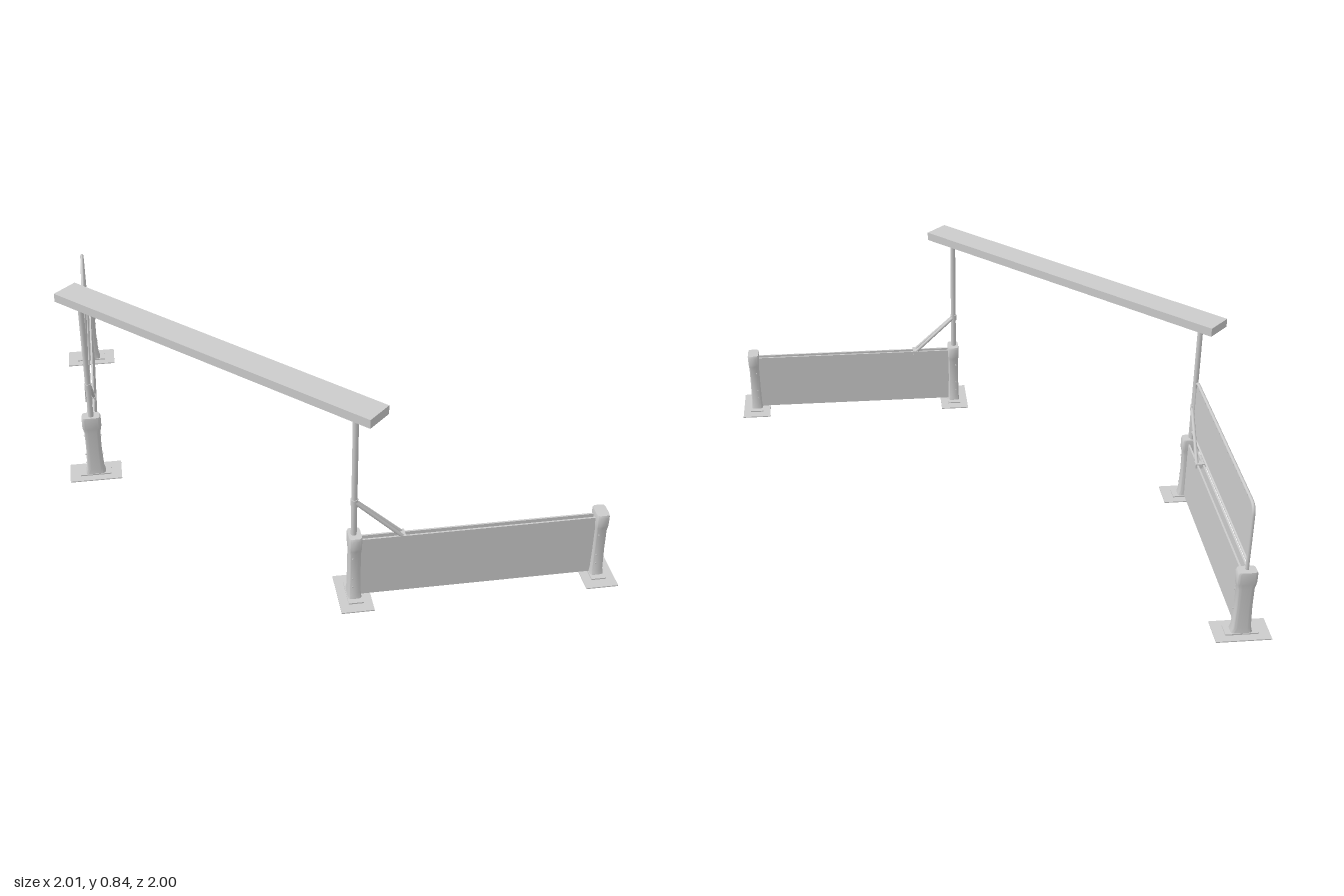
import * as THREE from 'three';
import { toCreasedNormals } from 'three/addons/utils/BufferGeometryUtils.js';

const SPAN = 0.92; // distance between the two posts of a barrier
const grey = new THREE.MeshStandardMaterial({ color: 0xcccccc });
const sheetGrey = new THREE.MeshStandardMaterial({ color: 0xcccccc, side: THREE.DoubleSide });

function add(parent, name, geometry, x = 0, y = 0, z = 0, material = grey) {
  const mesh = new THREE.Mesh(geometry, material);
  mesh.name = name;
  mesh.position.set(x, y, z);
  parent.add(mesh);
  return mesh;
}

function box(parent, name, w, h, d, x, y, z) {
  return add(parent, name, new THREE.BoxGeometry(w, h, d), x, y, z);
}

// round rod between two points
function rod(parent, name, a, b, radius) {
  const from = new THREE.Vector3(...a), to = new THREE.Vector3(...b);
  const dir = to.clone().sub(from);
  const mid = from.clone().add(to).multiplyScalar(0.5);
  const mesh = add(parent, name, new THREE.CylinderGeometry(radius, radius, dir.length(), 12), mid.x, mid.y, mid.z);
  mesh.quaternion.setFromUnitVectors(new THREE.Vector3(0, 1, 0), dir.normalize());
  return mesh;
}

// sections are [y, width, depth]; each is a rounded rectangle, joined upward
function postGeometry(sections) {
  const sides = 32, pos = [], index = [];
  const power = (v) => Math.sign(v) * Math.pow(Math.abs(v), 0.4);
  for (const [y, w, d] of sections) {
    for (let i = 0; i < sides; i++) {
      const a = (i / sides) * Math.PI * 2;
      pos.push(power(Math.cos(a)) * w / 2, y, power(Math.sin(a)) * d / 2);
    }
  }
  const rows = sections.length;
  for (let r = 0; r < rows - 1; r++) {
    for (let i = 0; i < sides; i++) {
      const a = r * sides + i, b = r * sides + (i + 1) % sides;
      index.push(a, a + sides, b, b, a + sides, b + sides);
    }
  }
  // end caps
  const top = (rows - 1) * sides;
  for (let i = 1; i < sides - 1; i++) {
    index.push(0, i, i + 1, top, top + i + 1, top + i);
  }
  const g = new THREE.BufferGeometry();
  g.setAttribute('position', new THREE.Float32BufferAttribute(pos, 3));
  g.setIndex(index);
  return toCreasedNormals(g, 0.6);
}

// end post on a flat foot plate
function makePost(x) {
  const post = new THREE.Group();
  post.name = 'post';
  post.position.x = x;
  box(post, 'footPlate', 0.122, 0.004, 0.21, 0, 0.002, 0);
  box(post, 'footFlange', 0.056, 0.005, 0.125, 0, 0.0065, 0);
  add(post, 'postBody', postGeometry([
    [0.004, 0.053, 0.082], [0.012, 0.051, 0.080], [0.03, 0.047, 0.070], [0.12, 0.044, 0.063],
    [0.205, 0.044, 0.064], [0.225, 0.047, 0.074], [0.235, 0.049, 0.077],
    [0.272, 0.050, 0.077], [0.28, 0.047, 0.070],
  ]));
  // bolts on both side faces
  for (const s of [1, -1]) {
    for (const y of [0.06, 0.1, 0.19]) {
      const bolt = add(post, 'bolt', new THREE.CylinderGeometry(0.003, 0.003, 0.006, 8), -0.01, y, s * 0.033);
      bolt.rotation.x = Math.PI / 2;
    }
  }
  return post;
}

// barrier runs along local +x from its pole end
function makeBarrier(name) {
  const barrier = new THREE.Group();
  barrier.name = name;
  barrier.add(makePost(0), makePost(SPAN));

  // twin sheets of the lower panel
  for (const s of [1, -1]) {
    box(barrier, 'lowerSheet', SPAN - 0.03, 0.25, 0.007, SPAN / 2, 0.135, s * 0.012);
  }

  // roof pole with two braces spreading to the sheets
  rod(barrier, 'pole', [-0.003, 0.27, 0], [-0.003, 0.81, 0], 0.011);
  rod(barrier, 'poleCollar', [-0.003, 0.41, 0], [-0.003, 0.435, 0], 0.014);
  for (const s of [1, -1]) {
    rod(barrier, 'brace', [0, 0.423, s * 0.007], [0.176, 0.258, s * 0.014], 0.007);
  }
  box(barrier, 'braceClamp', 0.028, 0.02, 0.042, 0.172, 0.255, 0);
  return barrier;
}

// hoop frame with a thin infill sheet above a barrier
function makeUpperScreen() {
  const screen = new THREE.Group();
  screen.name = 'upperScreen';
  const x0 = 0.011, x1 = SPAN - 0.003, top = 0.553, low = 0.315, r = 0.04;
  const V = (x, y) => new THREE.Vector3(x, y, 0);
  const path = new THREE.CurvePath();
  path.add(new THREE.LineCurve3(V(x0, 0.25), V(x0, top - r)));
  path.add(new THREE.QuadraticBezierCurve3(V(x0, top - r), V(x0, top), V(x0 + r, top)));
  path.add(new THREE.LineCurve3(V(x0 + r, top), V(x1 - r, top)));
  path.add(new THREE.QuadraticBezierCurve3(V(x1 - r, top), V(x1, top), V(x1, top - r)));
  path.add(new THREE.LineCurve3(V(x1, top - r), V(x1, 0.25)));
  add(screen, 'hoopFrame', new THREE.TubeGeometry(path, 160, 0.007, 8));
  rod(screen, 'bottomRail', [x0, low, 0], [x1, low, 0], 0.006);

  const shape = new THREE.Shape();
  shape.moveTo(x0, low);
  shape.lineTo(x1, low);
  shape.lineTo(x1, top - r);
  shape.quadraticCurveTo(x1, top, x1 - r, top);
  shape.lineTo(x0 + r, top);
  shape.quadraticCurveTo(x0, top, x0, top - r);
  shape.closePath();
  add(screen, 'upperSheet', new THREE.ShapeGeometry(shape, 8), 0, 0, 0, sheetGrey);
  return screen;
}

export function createModel() {
  const model = new THREE.Group();
  model.name = 'barrierGate';

  const front = makeBarrier('frontBarrier');
  front.position.set(0.028, 0, 0.887);

  const side = makeBarrier('sideBarrier');
  side.position.set(-0.892, 0, -0.028);
  side.rotation.y = Math.PI / 2;
  side.add(makeUpperScreen());

  model.add(front, side);

  // diagonal roof beam resting on both poles
  const beam = box(model, 'roofBeam', 1.475, 0.035, 0.113, -0.427, 0.818, 0.43);
  beam.rotation.y = -Math.PI / 4;
  return model;
}
